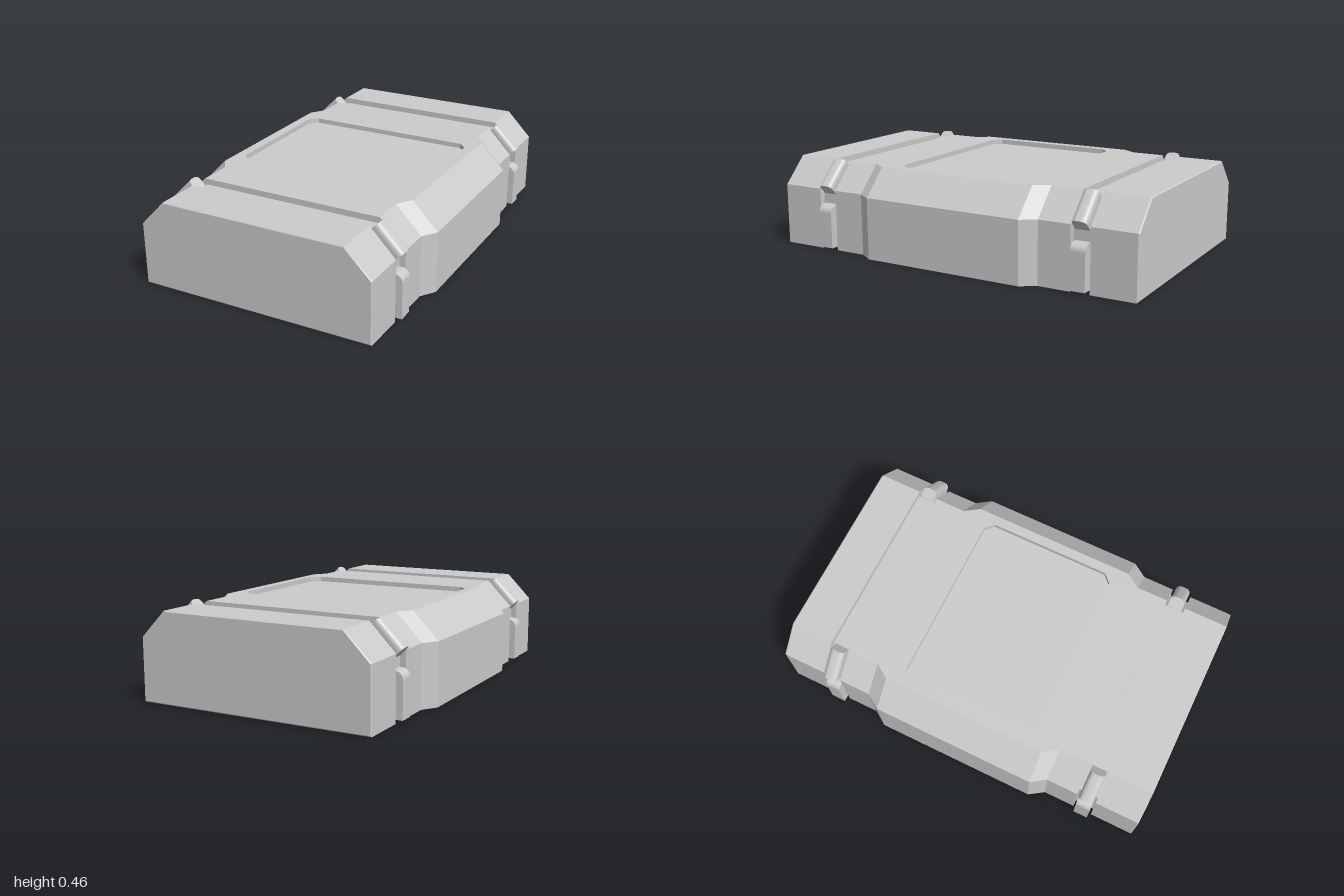
import * as THREE from 'three';

const material = new THREE.MeshStandardMaterial({ color: 0xcccccc });

function named(geometry, name) {
  const mesh = new THREE.Mesh(geometry, material);
  mesh.name = name;
  return mesh;
}

// Six-cornered cross-section: flat base, upright sides, sloped shoulders
function section([z, w, base = 0, shoulder = 0.315, top = 0.45, slope = 0.132]) {
  return [[w, base], [w, shoulder], [w - slope, top], [slope - w, top], [-w, shoulder], [-w, base]]
    .map(([x, y]) => [x, y, z]);
}

// Faceted loft through the sections; the middle bay is left open for the top panel
function loft(stations) {
  const rings = stations.map(section);
  const positions = [];
  const tri = (...points) => points.forEach((p) => positions.push(...p));
  for (let k = 0; k < rings.length - 1; k++) {
    const a = rings[k], b = rings[k + 1];
    const openTop = stations[k][0] >= -0.67 && stations[k + 1][0] <= 0.67 && stations[k][4] === undefined && stations[k + 1][4] === undefined;
    for (let i = 0; i < 6; i++) {
      if (openTop && i === 2) continue;
      const j = (i + 1) % 6;
      tri(a[i], a[j], b[j]);
      tri(a[i], b[j], b[i]);
    }
  }
  const back = rings[0], front = rings[rings.length - 1];
  for (let i = 1; i < 5; i++) {
    tri(front[0], front[i], front[i + 1]);
    tri(back[0], back[i + 1], back[i]);
  }
  const geometry = new THREE.BufferGeometry();
  geometry.setAttribute('position', new THREE.Float32BufferAttribute(positions, 3));
  geometry.computeVertexNormals();
  return geometry;
}

const toPoints = (list) => list.map(([x, y]) => new THREE.Vector2(x, y));

export function createModel() {
  const model = new THREE.Group();
  model.name = 'case';

  // Half of the body stations, from the centre to the front end
  const groove = [0.58, 0.01, 0.305, 0.42, 0.115];
  const half = [
    [0.43, 0.66], [0.505, 0.61], [0.67, 0.61],
    [0.67, ...groove], [0.77, ...groove],
    [0.77, 0.61], [0.995, 0.61], [1, 0.606, 0.005, 0.313, 0.445, 0.132],
  ];
  const mirrored = half.map(([z, ...rest]) => [-z, ...rest]).reverse();
  model.add(named(loft([...mirrored, ...half]), 'body'));

  // Top panel with a recess cut through it
  const right = [[0.478, -0.67], [0.478, -0.505], [0.528, -0.43], [0.528, 0.43], [0.478, 0.505], [0.478, 0.67]];
  const panelShape = new THREE.Shape(toPoints([...right, ...right.map(([x, y]) => [-x, y]).reverse()]));
  const rx = 0.478, rz = 0.362, c = 0.042;
  const corners = [
    [rx, c - rz], [rx, rz - c], [rx - c, rz], [c - rx, rz],
    [-rx, rz - c], [-rx, c - rz], [c - rx, -rz], [rx - c, -rz],
  ];
  panelShape.holes.push(new THREE.Path(toPoints(corners)));
  const panel = named(new THREE.ExtrudeGeometry(panelShape, { depth: 0.025, bevelEnabled: false }), 'topPanel');
  const floor = named(new THREE.ShapeGeometry(new THREE.Shape(toPoints(corners))), 'recessFloor');
  for (const part of [panel, floor]) {
    part.rotation.x = -Math.PI / 2;
    part.position.y = 0.425;
    model.add(part);
  }

  // Sloped strap bar: rounded outer edges, extruded up the shoulder
  const bw = 0.038, bh = 0.07, r = 0.03;
  const barShape = new THREE.Shape();
  barShape.moveTo(-bw, 0);
  barShape.lineTo(bw, 0);
  barShape.lineTo(bw, bh - r);
  barShape.quadraticCurveTo(bw, bh, bw - r, bh);
  barShape.lineTo(r - bw, bh);
  barShape.quadraticCurveTo(-bw, bh, -bw, bh - r);
  const barGeometry = new THREE.ExtrudeGeometry(barShape, { depth: 0.175, bevelEnabled: false, curveSegments: 8 });
  const s = Math.SQRT1_2;
  barGeometry.applyMatrix4(new THREE.Matrix4().makeBasis(
    new THREE.Vector3(0, 0, 1), new THREE.Vector3(s, s, 0), new THREE.Vector3(-s, s, 0)));
  barGeometry.translate(0.587, 0.29, 0);

  // Upright side clip with a rounded upper corner
  const clipShape = new THREE.Shape();
  clipShape.moveTo(0.57, 0.015);
  clipShape.lineTo(0.638, 0.015);
  clipShape.lineTo(0.638, 0.2);
  clipShape.quadraticCurveTo(0.636, 0.228, 0.605, 0.237);
  clipShape.lineTo(0.57, 0.237);
  const clipGeometry = new THREE.ExtrudeGeometry(clipShape, { depth: 0.076, bevelEnabled: false, curveSegments: 8 });
  clipGeometry.translate(0, 0, -0.038);

  // One bar and one clip at each end of both grooves
  for (const turn of [0, Math.PI]) {
    for (const z of [-0.72, 0.72]) {
      const fastener = new THREE.Group();
      fastener.name = turn ? 'rightFastener' : 'leftFastener';
      fastener.add(named(barGeometry, 'strapBar'), named(clipGeometry, 'sideClip'));
      fastener.rotation.y = turn;
      fastener.position.z = z;
      model.add(fastener);
    }
  }
  return model;
}
